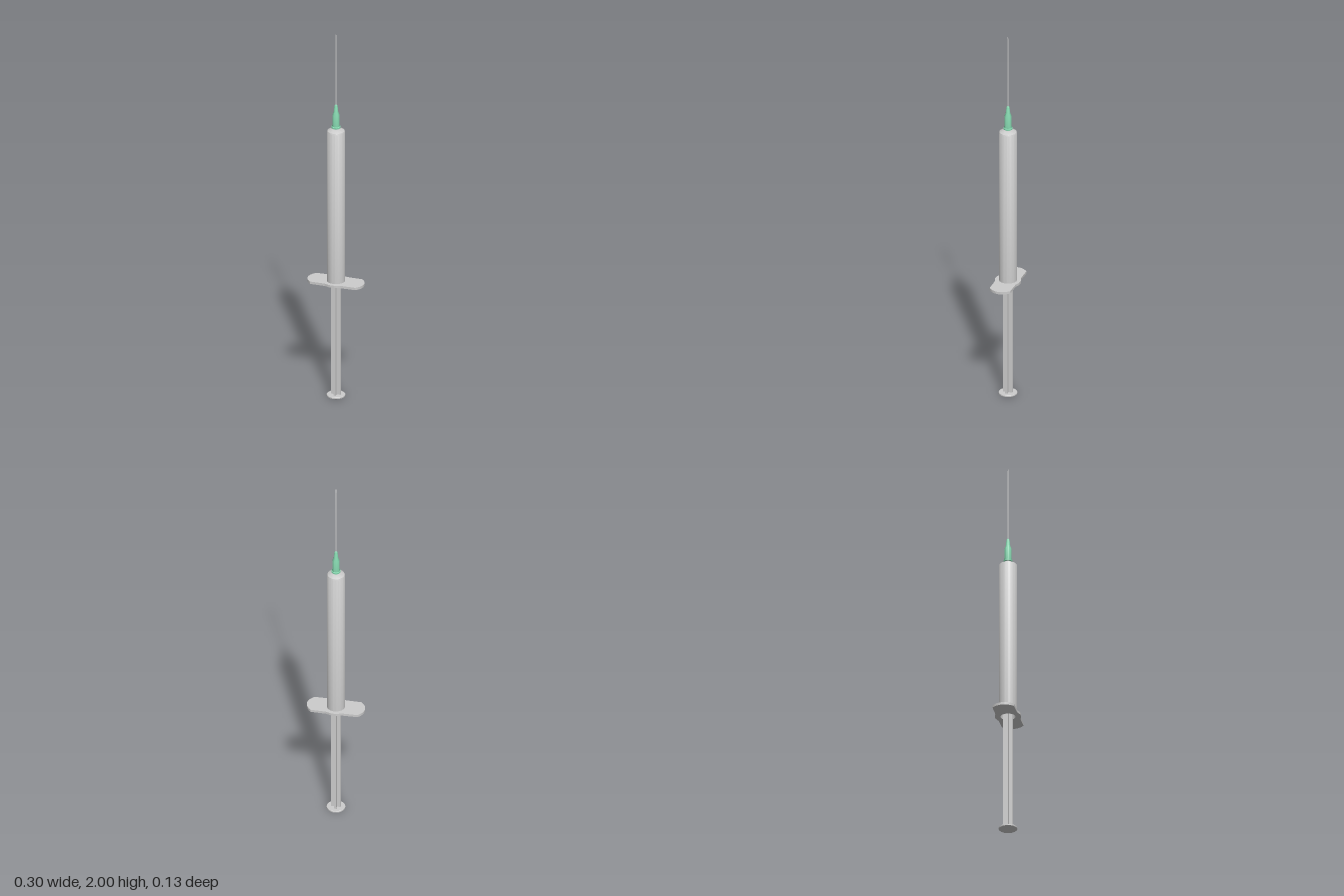
import * as THREE from 'three';
import { toCreasedNormals } from 'three/addons/utils/BufferGeometryUtils.js';

const grey = new THREE.MeshStandardMaterial({ color: 0xcccccc });
const green = new THREE.MeshStandardMaterial({ color: 0x84d6ae });

export function createModel() {
  const model = new THREE.Group();

  const add = (name, geometry, material = grey) => {
    const mesh = new THREE.Mesh(geometry, material);
    mesh.name = name;
    model.add(mesh);
    return mesh;
  };
  // Turned part from [radius, height] pairs
  const turned = (name, profile, material, sides = 48) => {
    const points = profile.map(([r, y]) => new THREE.Vector2(r, y));
    return add(name, toCreasedNormals(new THREE.LatheGeometry(points, sides), 0.5), material);
  };

  // Hollow barrel: inner wall downwards, outer wall upwards, then the nozzle
  turned('barrel', [
    [0, 1.455], [0.038, 1.455], [0.038, 0.626], [0.046, 0.626], [0.046, 1.462],
    [0.043, 1.468], [0.024, 1.478], [0.016, 1.479], [0.016, 1.5], [0, 1.5],
  ]);

  // Finger flange with a bulge around the barrel and a bore
  const outline = new THREE.Shape();
  outline.moveTo(0.12, -0.055);
  outline.bezierCurveTo(0.158, -0.024, 0.158, 0.024, 0.12, 0.055);
  outline.lineTo(0.042, 0.056);
  outline.bezierCurveTo(0.025, 0.06, 0.02, 0.066, 0, 0.066);
  outline.bezierCurveTo(-0.02, 0.066, -0.025, 0.06, -0.042, 0.056);
  outline.lineTo(-0.12, 0.055);
  outline.bezierCurveTo(-0.158, 0.024, -0.158, -0.024, -0.12, -0.055);
  outline.lineTo(-0.042, -0.056);
  outline.bezierCurveTo(-0.025, -0.06, -0.02, -0.066, 0, -0.066);
  outline.bezierCurveTo(0.02, -0.066, 0.025, -0.06, 0.042, -0.056);
  outline.closePath();
  outline.holes.push(new THREE.Path().absarc(0, 0, 0.038, 0, Math.PI * 2, true));
  const flange = new THREE.ExtrudeGeometry(outline, { depth: 0.013, bevelEnabled: false, curveSegments: 16 });
  flange.rotateX(-Math.PI / 2).translate(0, 0.625, 0);
  add('fingerFlange', toCreasedNormals(flange, 0.5));

  // Thumb disc
  turned('thumbRest', [[0, 0], [0.045, 0], [0.047, 0.002], [0.047, 0.008], [0.045, 0.01], [0, 0.01]]);

  // Plunger rod with a cross-shaped section
  const w = 0.025, t = 0.006;
  const cross = new THREE.Shape();
  for (let i = 0; i < 4; i++) {
    const c = Math.round(Math.cos(i * Math.PI / 2)), s = Math.round(Math.sin(i * Math.PI / 2));
    for (const [x, y] of [[w, -t], [w, t], [t, t]]) {
      const px = x * c - y * s, py = x * s + y * c;
      if (i === 0 && y < 0) cross.moveTo(px, py);
      else cross.lineTo(px, py);
    }
  }
  cross.closePath();
  const rod = new THREE.ExtrudeGeometry(cross, { depth: 0.9, bevelEnabled: false });
  rod.rotateX(-Math.PI / 2).translate(0, 0.008, 0);
  add('plungerRod', rod);

  // Ribbed stopper inside the barrel
  turned('stopper', [
    [0, 0.9], [0.0375, 0.9], [0.0375, 0.912], [0.033, 0.916], [0.033, 0.934],
    [0.0375, 0.938], [0.0375, 0.95], [0, 0.965],
  ]);

  // Needle hub with a collar and a stepped taper
  turned('needleHub', [
    [0.016, 1.484], [0.023, 1.484], [0.023, 1.491], [0.019, 1.493], [0.018, 1.555],
    [0.011, 1.575], [0.008, 1.606], [0.006, 1.61], [0, 1.61],
  ], green, 32);

  // Needle with a slanted tip
  const needle = new THREE.CylinderGeometry(0.0035, 0.0035, 0.4, 16).translate(0, 1.8, 0);
  const p = needle.attributes.position;
  for (let i = 0; i < p.count; i++) {
    if (p.getY(i) > 1.9) p.setY(i, 1.99 + p.getZ(i) * 2.85);
  }
  add('needle', toCreasedNormals(needle, 0.5));

  return model;
}
